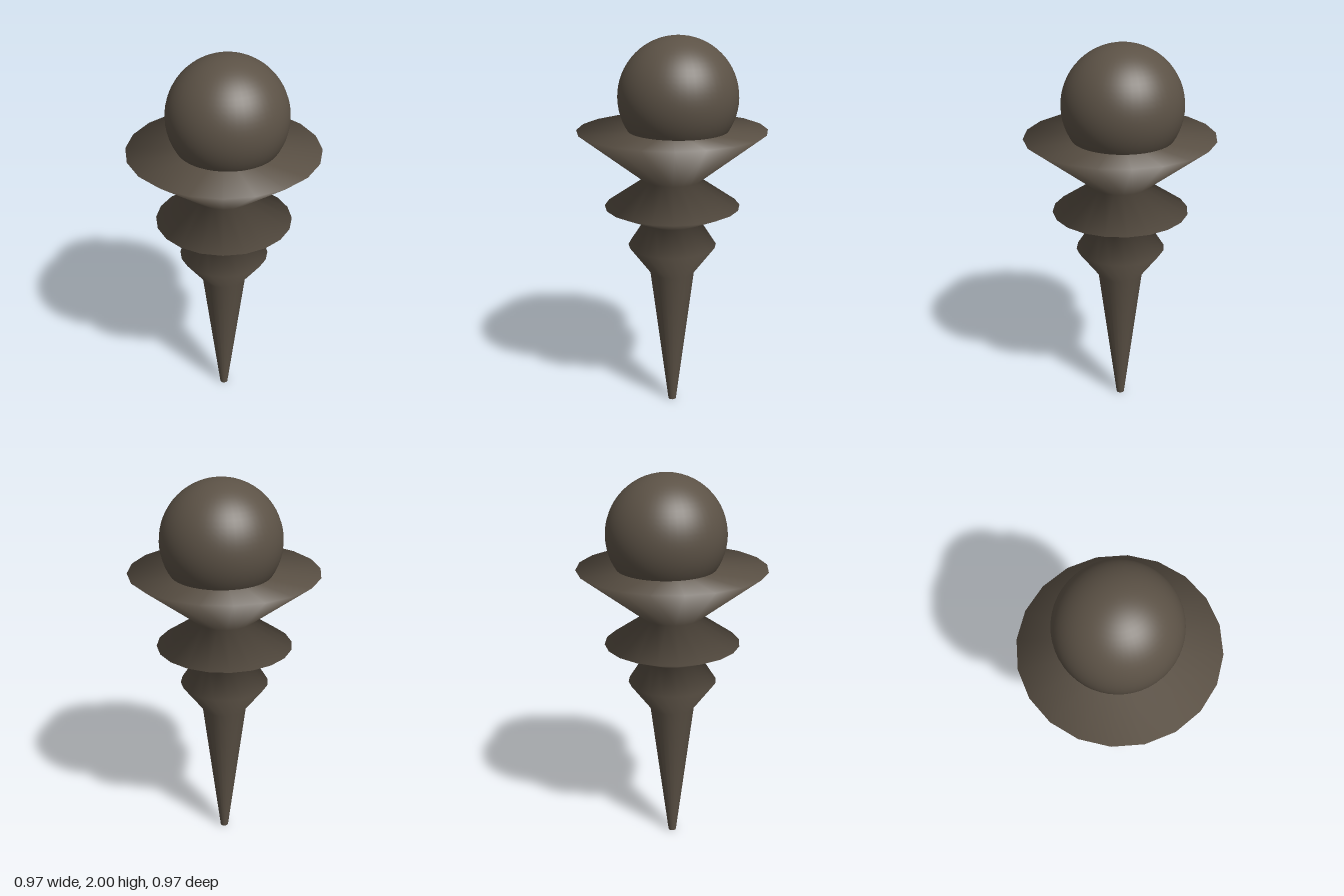
import * as THREE from 'three';

export function createModel() {
  const group = new THREE.Group();
  group.name = 'orbTopSpindle';

  const darkBronze = new THREE.MeshStandardMaterial({ color: 0x5c5246 });
  darkBronze.name = 'darkBronze';

  // Turned shaft: tapered tip, knob, sharp collar and flared, closed cup
  const profile = [
    [0, 0], [0.021, 0], [0.117, 0.765], [0.231, 0.917], [0.15, 1.043],
    [0.351, 1.132], [0.15, 1.27], [0.486, 1.53], [0, 1.53],
  ].map(([r, y]) => new THREE.Vector2(r, y));
  const shaft = new THREE.Mesh(new THREE.LatheGeometry(profile, 20), darkBronze);
  shaft.name = 'turnedShaft';
  group.add(shaft);

  // Orb resting in the cup, set slightly towards the back
  const orb = new THREE.Mesh(new THREE.SphereGeometry(0.305, 48, 32), darkBronze);
  orb.name = 'orb';
  orb.position.set(0, 1.695, -0.03);
  group.add(orb);

  return group;
}
